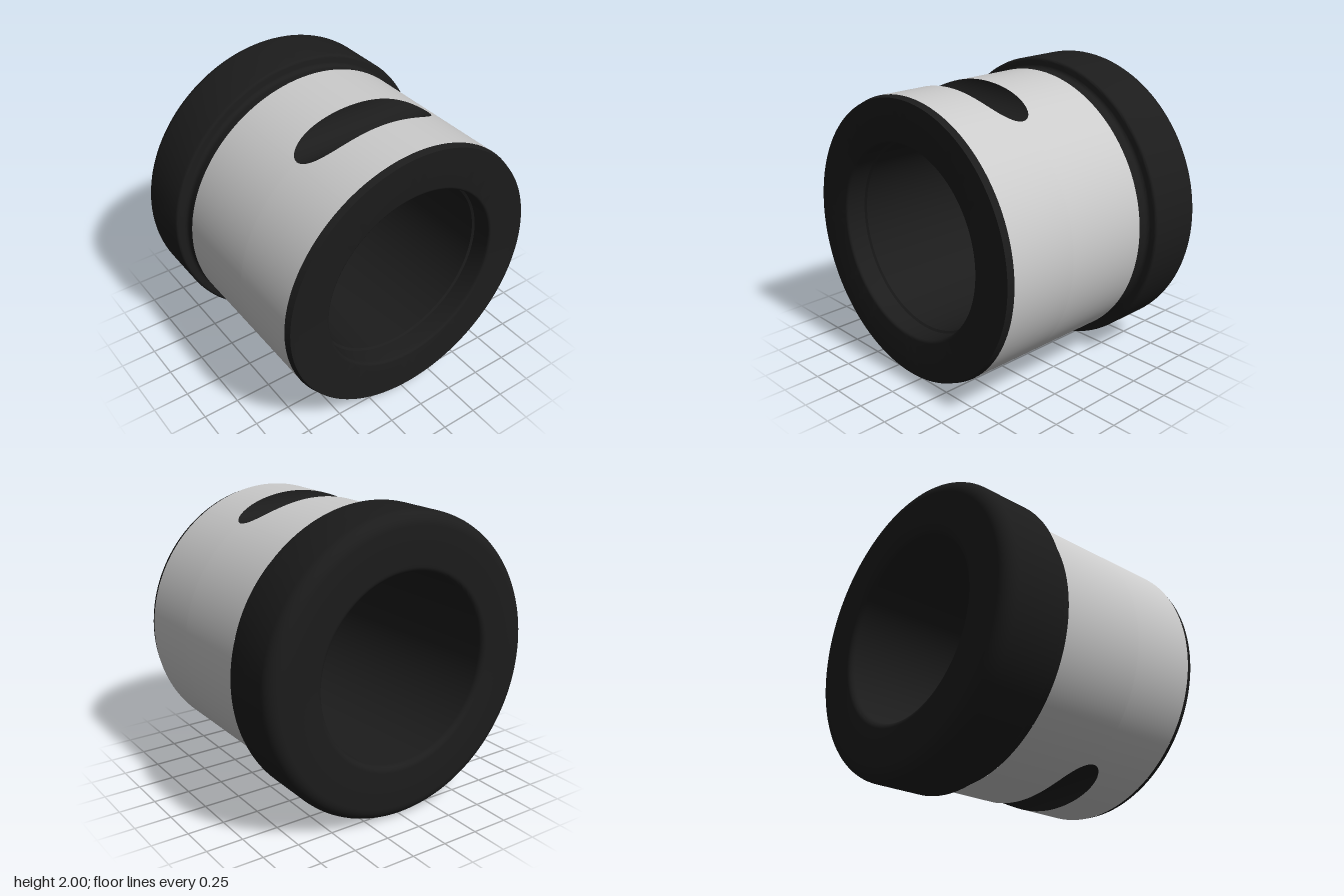
import * as THREE from 'three';
import { toCreasedNormals } from 'three/addons/utils/BufferGeometryUtils.js';

const R = 0.935;                          // sleeve radius
const SLOT = { x: 0.31, y: 0.94, r: 0.15 }; // round channel cut across the sleeve
const X0 = -0.31, X1 = 0.80;              // ends of the bright sleeve

// Surface through equal-length rows of [x, y, z] points
function surface(rows) {
  const n = rows[0].length, index = [];
  for (let i = 0; i < rows.length - 1; i++) {
    for (let j = 0; j < n - 1; j++) {
      const a = i * n + j, b = a + 1, c = a + n, d = c + 1;
      index.push(a, c, b, b, c, d);
    }
  }
  const geo = new THREE.BufferGeometry();
  geo.setAttribute('position', new THREE.Float32BufferAttribute(rows.flat(2), 3));
  geo.setIndex(index);
  return toCreasedNormals(geo, 0.5);
}

// Quarter-circle fillet as [radius, x] points
function fillet(cr, cx, r, from, to, steps = 8) {
  return Array.from({ length: steps + 1 }, (_, i) => {
    const a = from + (to - from) * i / steps;
    return [cr + r * Math.cos(a), cx + r * Math.sin(a)];
  });
}

export function createModel() {
  const group = new THREE.Group();
  const bright = new THREE.MeshStandardMaterial({ color: 0xcccccc });
  const dark = new THREE.MeshStandardMaterial({ color: 0x1c1c1c });
  const add = (name, geo, mat) => {
    const mesh = new THREE.Mesh(geo, mat);
    mesh.name = name;
    mesh.position.y = 1;
    group.add(mesh);
  };
  const H = Math.PI / 2;

  // Flange, neck, bore and end face as one turned profile
  const profile = [
    [R, X1], [0.922, 0.842],
    ...fillet(0.66, 0.822, 0.02, H, 2 * H, 4),
    [0.64, 0.70], [0.625, 0.69],
    ...fillet(0.665, -0.803, 0.04, 2 * H, 3 * H, 6),
    ...fillet(0.91, -0.755, 0.09, -H, 0),
    ...fillet(0.98, -0.42, 0.02, 0, H, 4),
    [0.95, -0.40],
    ...fillet(0.95, -0.375, 0.025, 3 * H, 2 * H, 4).map(([r, x]) => [r, Math.min(x, -0.375)]),
    [0.925, -0.36], [R, -0.325], [R, X0],
  ].map(([r, x]) => new THREE.Vector2(r, x));
  const body = new THREE.LatheGeometry(profile, 128);
  body.rotateZ(-H);
  add('flangedBody', toCreasedNormals(body, 0.5), dark);

  // Angles round the sleeve with the half-width of the slot at each
  const t0 = Math.asin((SLOT.y - R) / SLOT.r), N = 24;
  const notch = Array.from({ length: N + 1 }, (_, i) => {
    const t = t0 + (H - t0) * (i / N) ** 2;
    const y = SLOT.y - SLOT.r * Math.sin(t);
    return { t, y, phi: Math.acos(Math.min(1, y / R)), h: SLOT.r * Math.cos(t) };
  });
  const edge = notch[N].phi, sides = [];
  for (let i = 1; i < 48; i++) sides.push({ phi: edge + (Math.PI - 2 * edge) * i / 48, h: 0 });
  const half = [
    ...notch, ...sides,
    ...notch.map(({ phi, h }) => ({ phi: Math.PI - phi, h })).reverse(),
  ];
  const ring = [...half.slice(1).reverse().map(({ phi, h }) => ({ phi: -phi, h })), ...half];

  // Sleeve skin on either side of the slots
  const at = (x, phi) => [x, R * Math.cos(phi), R * Math.sin(phi)];
  add('sleeveFlangeSide', surface(ring.map(({ phi, h }) => [at(X0, phi), at(SLOT.x - h, phi)])), bright);
  add('sleeveOpenSide', surface(ring.map(({ phi, h }) => [at(SLOT.x + h, phi), at(X1, phi)])), bright);

  // Channel floors, straight across from rim to rim
  const across = (s) => ({ y, h, phi }) => {
    const z = R * Math.sin(phi);
    return [[SLOT.x + s * h, y, z], [SLOT.x + s * h, y, -z]];
  };
  const floor = surface([...notch.map(across(-1)), ...notch.slice(0, N).reverse().map(across(1))]);
  add('topSlot', floor, dark);
  add('bottomSlot', floor.clone().rotateX(Math.PI), dark);

  return group;
}
